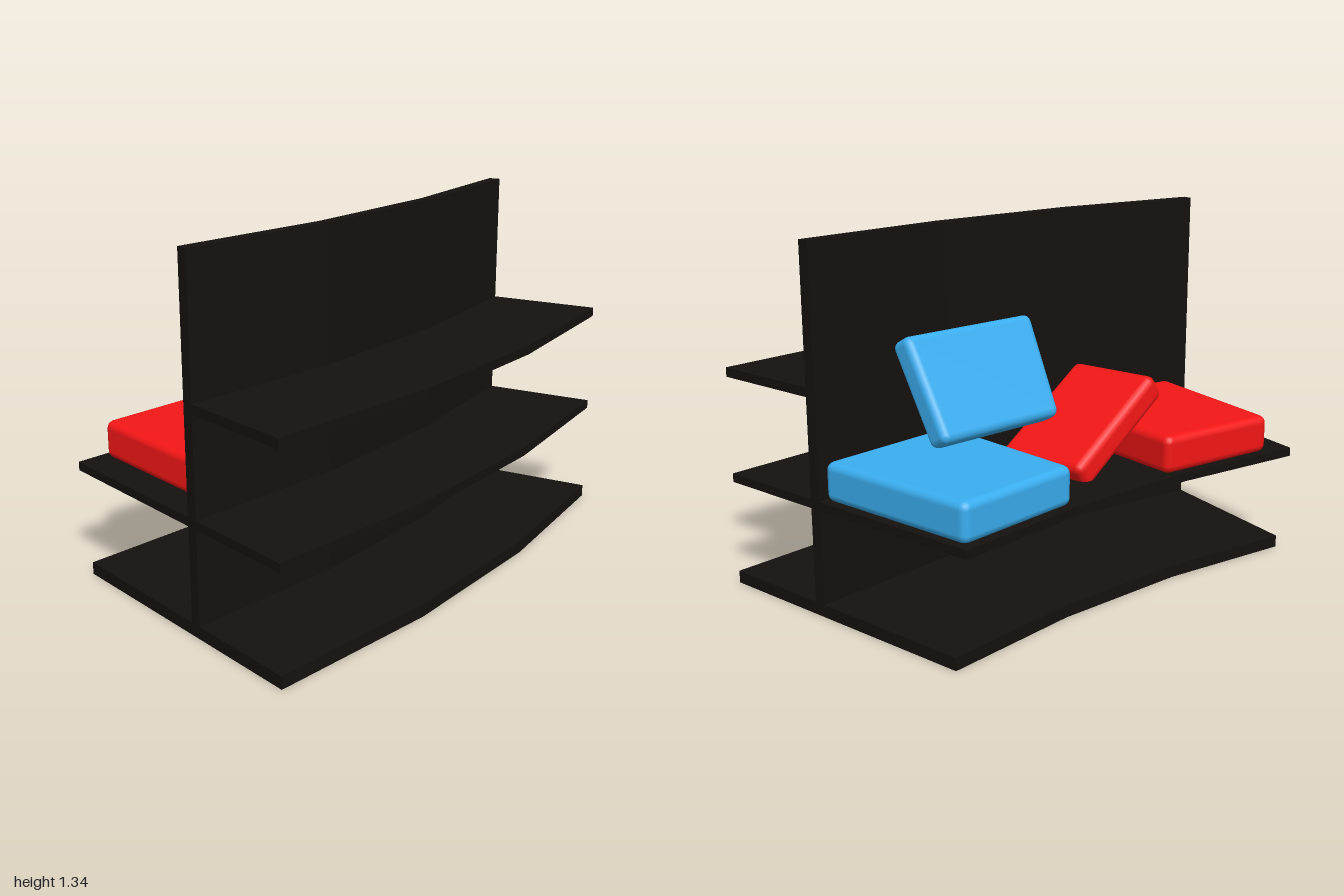
import * as THREE from 'three';
import { RoundedBoxGeometry } from 'three/addons/geometries/RoundedBoxGeometry.js';

const CENTRE_X = -5.14; // centre of the arc that the bench follows
const ANGLES = [-10, -10 / 3, 10 / 3, 10].map(THREE.MathUtils.degToRad);

const dark = new THREE.MeshStandardMaterial({ color: 0x15110e });
const red = new THREE.MeshStandardMaterial({ color: 0xf41616 });
const blue = new THREE.MeshStandardMaterial({ color: 0x3aaef0 });

// Board bent round the arc in three straight facets
function arcBoard(name, innerRadius, outerRadius, bottom, top) {
  const at = (r) => (a) => new THREE.Vector2(CENTRE_X + r * Math.cos(a), r * Math.sin(a));
  const outline = [...ANGLES.map(at(outerRadius)), ...ANGLES.map(at(innerRadius)).reverse()];
  const geometry = new THREE.ExtrudeGeometry(new THREE.Shape(outline), {
    depth: top - bottom,
    bevelEnabled: false,
  });
  geometry.rotateX(-Math.PI / 2).translate(0, bottom, 0);
  const mesh = new THREE.Mesh(geometry, dark);
  mesh.name = name;
  return mesh;
}

// Soft-edged cushion, narrow at -x and wide at +x
function cushion(name, material, length, thickness, narrow, wide, position, rotation) {
  const geometry = new RoundedBoxGeometry(length, thickness, 1, 2, 0.03);
  const p = geometry.attributes.position;
  for (let i = 0; i < p.count; i++) {
    const width = THREE.MathUtils.lerp(narrow, wide, p.getX(i) / length + 0.5);
    // Shift each half inward so the rounded edge keeps its radius
    const z = p.getZ(i);
    p.setZ(i, z - Math.sign(z) * (1 - width) / 2);
  }
  const mesh = new THREE.Mesh(geometry, material);
  mesh.name = name;
  mesh.position.set(...position);
  mesh.rotation.set(...rotation);
  return mesh;
}

export function createModel() {
  const group = new THREE.Group();
  group.name = 'curvedBench';

  // Boards
  group.add(
    arcBoard('baseBoard', 4.654, 5.759, 0, 0.047),
    arcBoard('seatBoard', 4.6, 5.759, 0.4, 0.433),
    arcBoard('upperShelf', 5.32, 5.759, 0.8, 0.835),
    arcBoard('backWall', 5.284, 5.328, 0.01, 1.337),
  );

  // Seat cushions
  group.add(
    cushion('redSeatCushion', red, 0.655, 0.145, 0.505, 0.59, [-0.222, 0.502, 0.481], [0, -0.103, 0]),
    cushion('blueSeatCushion', blue, 0.655, 0.145, 0.515, 0.59, [-0.228, 0.502, -0.565], [0, 0.115, 0]),
  );

  // Loose pillows: one lying on the red seat's edge, one leaning on the wall
  group.add(
    cushion('redPillow', red, 0.42, 0.105, 0.515, 0.565, [-0.155, 0.564, 0.102], [-0.545, 0.115, -0.025]),
    cushion('bluePillow', blue, 0.405, 0.105, 0.55, 0.595, [-0.018, 0.773, -0.272], [0, 0.03, 1.073]),
  );
  return group;
}
